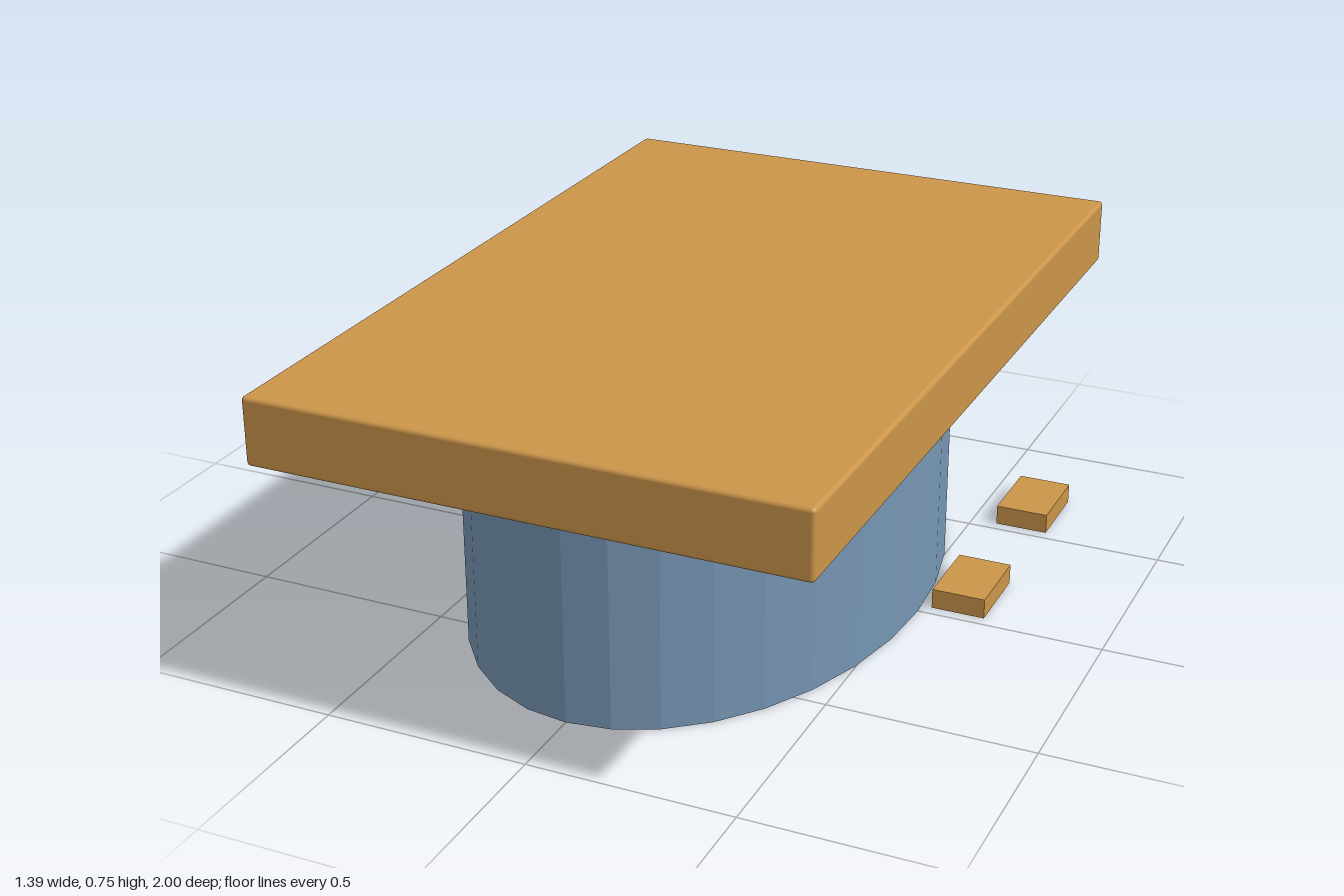
import * as THREE from 'three';
import { RoundedBoxGeometry } from 'three/addons/geometries/RoundedBoxGeometry.js';

export function createModel() {
  const model = new THREE.Group();
  model.name = 'table';
  const wood = new THREE.MeshStandardMaterial({ color: 0xcb954a });
  wood.name = 'wood';
  const blue = new THREE.MeshStandardMaterial({ color: 0x7695b3 });
  blue.name = 'blue';

  const add = (name, geometry, material, x, y, z) => {
    const mesh = new THREE.Mesh(geometry, material);
    mesh.name = name;
    mesh.position.set(x, y, z);
    model.add(mesh);
    return mesh;
  };

  // Slab top with slightly softened edges
  add('tableTop', new RoundedBoxGeometry(1.33, 0.165, 2, 2, 0.01), wood, 0, 0.6675, 0);

  // Faceted oval pedestal: a closed ring profile, bored through the middle
  const inner = 1 / 3, height = 0.59;
  const profile = [[inner, height], [inner, 0], [1, 0], [1, height], [inner, height]]
    .map(([r, y]) => new THREE.Vector2(r, y));
  const ring = new THREE.LatheGeometry(profile, 32).scale(0.54, 1, 0.81).toNonIndexed();
  ring.computeVertexNormals(); // flat facets
  add('pedestal', ring, blue, 0, 0, 0);

  // Two small floor blocks on each side
  const block = new THREE.BoxGeometry(0.133, 0.05, 0.2);
  for (const side of [-1, 1]) {
    for (const z of [-0.13, -0.63]) {
      add(side > 0 ? 'leftFloorBlock' : 'rightFloorBlock', block, wood, side * 0.631, 0.025, z);
    }
  }
  return model;
}
